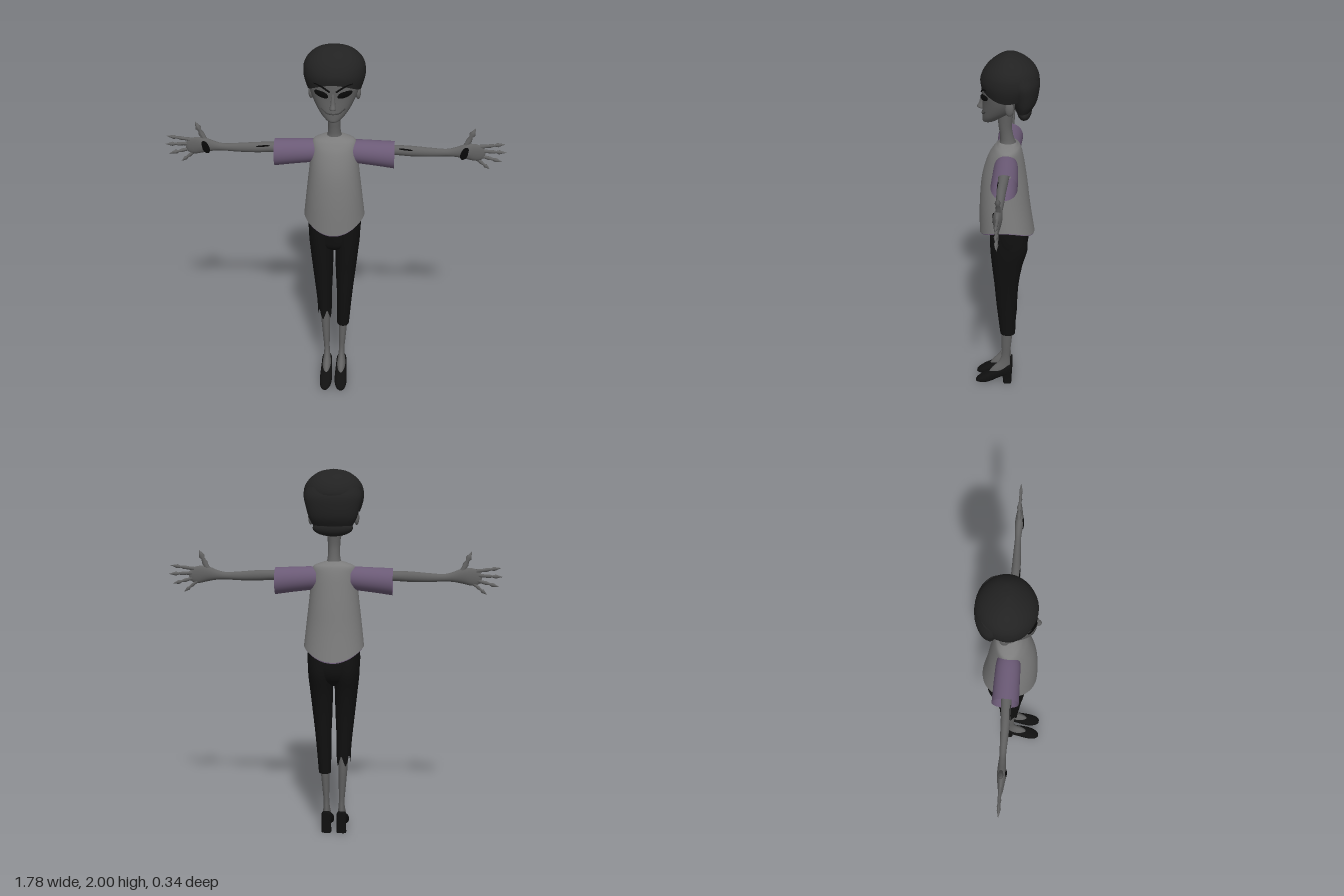
import * as THREE from 'three';

const paint = (color) => new THREE.MeshStandardMaterial({ color, side: THREE.DoubleSide });

// Smooth row of numbers at t in 0..1 along a list of sections
function sample(rows, t) {
  const f = t * (rows.length - 1), i = Math.min(Math.floor(f), rows.length - 2), u = f - i;
  const at = (k) => rows[Math.max(0, Math.min(rows.length - 1, k))];
  const [a, b, c, d] = [at(i - 1), at(i), at(i + 1), at(i + 2)];
  return b.map((p1, k) => {
    const m1 = (c[k] - a[k]) / 2, m2 = (d[k] - p1) / 2, u2 = u * u, u3 = u2 * u;
    return p1 * (2 * u3 - 3 * u2 + 1) + m1 * (u3 - 2 * u2 + u) + c[k] * (3 * u2 - 2 * u3) + m2 * (u3 - u2);
  });
}

// Skin over sections [height, centre x, half width, front z, back z]
function loft(rows, { power = 1, cap = false, warp = null, seg = 32, sub = 5 } = {}) {
  const rings = [], n = (rows.length - 1) * sub;
  for (let i = 0; i <= n; i++) rings.push(sample(rows, i / n));
  if (cap) {
    const shut = ([y, cx, , f, b]) => [y, cx, 0, (f + b) / 2, (f + b) / 2];
    rings.unshift(shut(rings[0]), rings[0]);
    rings.push(rings[rings.length - 1], shut(rings[rings.length - 1]));
  }
  const pos = [], idx = [], bend = (v) => Math.sign(v) * Math.abs(v) ** power;
  rings.forEach(([y, cx, rx, f, b], i) => {
    for (let j = 0; j < seg; j++) {
      const a = (j / seg) * Math.PI * 2;
      pos.push(cx + Math.max(rx, 0) * bend(Math.sin(a)), y + (warp ? warp(a, y) : 0), (f + b) / 2 + (f - b) / 2 * bend(Math.cos(a)));
      if (i === rings.length - 1) continue;
      const p = i * seg + j, q = i * seg + (j + 1) % seg;
      idx.push(p, q, p + seg, q, q + seg, p + seg);
    }
  });
  const g = new THREE.BufferGeometry();
  g.setAttribute('position', new THREE.Float32BufferAttribute(pos, 3));
  g.setIndex(idx);
  g.computeVertexNormals();
  return g;
}

// Mirror across x, keeping faces outward
function mirrored(g) {
  const m = g.clone().scale(-1, 1, 1), ix = m.index.array;
  for (let i = 0; i < ix.length; i += 3) [ix[i], ix[i + 1]] = [ix[i + 1], ix[i]];
  m.computeVertexNormals();
  return m;
}

const face = [
  [1.633, 0, 0.012, 0.108, 0.088], [1.642, 0, 0.034, 0.118, 0.055], [1.67, 0, 0.064, 0.119, 0.01],
  [1.71, 0, 0.093, 0.118, -0.05], [1.76, 0, 0.117, 0.117, -0.09], [1.81, 0, 0.13, 0.121, -0.11],
  [1.86, 0, 0.132, 0.118, -0.12], [1.92, 0, 0.1, 0.07, -0.1]];

function faceZ(x, y) {
  let best = face[0];
  for (let i = 0; i <= 200; i++) {
    const r = sample(face, i / 200);
    if (Math.abs(r[0] - y) < Math.abs(best[0] - y)) best = r;
  }
  const [, , rx, f, b] = best;
  return (f + b) / 2 + (f - b) / 2 * Math.sqrt(Math.max(0, 1 - (x / rx) ** 2));
}

// Tube that follows the surface of the face
function faceLine(points, r) {
  const pts = points.map(([x, y]) => new THREE.Vector3(x, y, faceZ(x, y)));
  return new THREE.TubeGeometry(new THREE.CatmullRomCurve3(pts), 16, r, 6);
}

// Tapered finger with a swollen joint and a pointed nail
function finger([x0, y0], [x1, y1], r) {
  const len = Math.hypot(x1 - x0, y1 - y0);
  const profile = [[1, 0], [0.72, 0.25], [0.85, 0.42], [0.5, 0.58], [0.95, 0.7], [0.55, 0.82], [0, 1]];
  const g = new THREE.LatheGeometry(profile.map(([a, t]) => new THREE.Vector2(a * r, t * len)), 10);
  return g.rotateZ(Math.atan2(y1 - y0, x1 - x0) - Math.PI / 2).scale(1, 1, 0.8).translate(x0, y0, -0.004);
}

const ball = (x, y, z, sx, sy, sz, ry = 0, rz = 0) =>
  new THREE.SphereGeometry(1, 20, 14).scale(sx, sy, sz).rotateZ(rz).rotateY(ry).translate(x, y, z);

export function createModel() {
  const model = new THREE.Group();
  const skin = paint(0x626262), shirt = paint(0x7c7c7c), purple = paint(0x6b5a76);
  const black = paint(0x101010), hair = paint(0x222222), dark = paint(0x080808);
  const add = (name, g, m) => {
    const mesh = new THREE.Mesh(g, m);
    mesh.name = name;
    model.add(mesh);
  };
  const pair = (name, g, m) => {
    add('left ' + name, g, m);
    add('right ' + name, mirrored(g), m);
  };

  // Head and neck
  add('head', loft(face, { seg: 40 }), skin);
  add('neck', loft([[1.48, 0, 0.06, 0.045, -0.065], [1.52, 0, 0.038, 0.03, -0.05], [1.56, 0, 0.032, 0.03, -0.038],
    [1.61, 0, 0.033, 0.037, -0.032], [1.69, 0, 0.04, 0.045, -0.04]]), skin);
  add('nose', loft([[1.705, 0, 0.012, 0.118, 0.1], [1.713, 0, 0.017, 0.145, 0.1], [1.74, 0, 0.012, 0.134, 0.1],
    [1.79, 0, 0.008, 0.121, 0.1]], { cap: true, seg: 16 }), skin);
  add('lips', faceLine([[-0.06, 1.708], [-0.03, 1.687], [0, 1.683], [0.03, 1.687], [0.06, 1.708]], 0.004), paint(0x454545));
  pair('ear', ball(0.12, 1.75, -0.025, 0.014, 0.038, 0.022), skin);
  pair('eye', ball(0.059, 1.785, faceZ(0.059, 1.785) - 0.002, 0.042, 0.017, 0.009, 0.5, 0.22), dark);
  pair('eyebrow', faceLine([[0.015, 1.8], [0.05, 1.822], [0.085, 1.836], [0.11, 1.832]], 0.005), dark);

  // Hair: swept cap, nape and low roll
  add('hair cap', loft([[1.835, 0, 0.136, 0.124, -0.15], [1.875, 0, 0.157, 0.126, -0.168], [1.925, 0, 0.144, 0.102, -0.15],
    [1.965, 0, 0.108, 0.062, -0.11], [1.99, 0, 0.062, 0.02, -0.06], [2, 0, 0, -0.015, -0.015]],
  { seg: 48, warp: (a, y) => -0.055 * Math.sin(a) ** 2 * Math.max(0, 1 - (y - 1.835) / 0.06) }), hair);
  add('back hair', loft([[1.71, 0, 0.1, -0.05, -0.13], [1.75, 0, 0.122, -0.035, -0.155], [1.8, 0, 0.137, -0.02, -0.167],
    [1.86, 0, 0.15, 0, -0.17], [1.91, 0, 0.14, 0, -0.15]], { cap: true }), hair);
  add('hair roll', ball(0, 1.702, -0.095, 0.105, 0.044, 0.038), hair);

  // Blouse with a curved hem and a coloured lining
  const blouse = [[1.065, 0, 0.162, 0.14, -0.155], [1.2, 0, 0.147, 0.138, -0.128], [1.34, 0, 0.131, 0.122, -0.108],
    [1.44, 0, 0.121, 0.092, -0.092], [1.49, 0, 0.112, 0.062, -0.078], [1.509, 0, 0.08, 0.044, -0.064], [1.522, 0, 0.038, 0.033, -0.053]];
  const hem = (a, y) => -0.065 * Math.cos(a) ** 2 * Math.max(0, 1 - (y - 1.065) / 0.2);
  add('blouse', loft(blouse, { warp: hem, seg: 48 }), shirt);
  const lining = blouse.slice(0, 4).map(([y, cx, rx, f, b]) => [y, cx, rx - 0.004, f - 0.004, b + 0.004]);
  add('blouse lining', loft(lining, { seg: 48, warp: (a, y) => hem(a, y) - 0.006 }), purple);

  // Sleeves and arms, lofted upward and then laid along x
  const alongX = (rows, opts) => loft(rows.map(([x, y, ry, f, b]) => [x, -y, ry, f, b]), opts).rotateZ(-Math.PI / 2);
  pair('sleeve', alongX([[0.09, 1.43, 0.058, 0.05, -0.065], [0.13, 1.428, 0.063, 0.054, -0.07],
    [0.22, 1.421, 0.067, 0.056, -0.074], [0.312, 1.413, 0.072, 0.058, -0.077]]), purple);
  pair('arm', alongX([[0.1, 1.44, 0.036, 0.026, -0.036], [0.3, 1.443, 0.027, 0.022, -0.03], [0.4, 1.44, 0.028, 0.022, -0.025],
    [0.5, 1.436, 0.024, 0.017, -0.022], [0.58, 1.436, 0.02, 0.013, -0.019], [0.63, 1.441, 0.027, 0.016, -0.022],
    [0.68, 1.446, 0.041, 0.021, -0.024], [0.73, 1.441, 0.046, 0.014, -0.018], [0.765, 1.438, 0.034, 0.008, -0.012],
    [0.78, 1.438, 0.008, 0, -0.006]]), skin);
  const tips = [[[0.75, 1.472], [0.88, 1.49], 0.012], [[0.76, 1.449], [0.89, 1.443], 0.012],
    [[0.75, 1.424], [0.872, 1.39], 0.012], [[0.73, 1.41], [0.81, 1.347], 0.011], [[0.672, 1.46], [0.723, 1.575], 0.018]];
  tips.forEach(([a, b, r], i) => pair(i === 4 ? 'thumb' : 'finger ' + (i + 1), finger(a, b, r), skin));
  pair('palm hollow', ball(0.672, 1.44, 0.017, 0.02, 0.036, 0.006, 0, -0.35), dark);
  pair('forearm mark', ball(0.375, 1.454, 0.017, 0.042, 0.005, 0.004, 0, -0.1), dark);

  // Trousers, the right leg shorter and torn
  add('trouser seat', loft([[0.85, 0, 0.03, 0.03, -0.05], [0.885, 0, 0.115, 0.07, -0.1], [0.94, 0, 0.138, 0.081, -0.122],
    [1.02, 0, 0.142, 0.086, -0.115], [1.1, 0, 0.132, 0.085, -0.1]]), black);
  const thigh = [[0.55, 0.057, 0.043, 0.048, -0.064], [0.7, 0.062, 0.054, 0.06, -0.075], [0.82, 0.067, 0.062, 0.072, -0.095],
    [0.93, 0.07, 0.069, 0.08, -0.122], [1.05, 0.068, 0.068, 0.082, -0.108]];
  add('left trouser leg', loft([[0.352, 0.049, 0.034, 0.028, -0.056], ...thigh]), black);
  const tear = (a, y) => 0.07 * (Math.abs(((a * 5 / Math.PI + 0.6) % 2) - 1) - 0.7) * Math.max(0, 1 - (y - 0.44) / 0.06);
  add('right trouser leg', mirrored(loft([[0.44, 0.053, 0.038, 0.038, -0.06], ...thigh], { warp: tear, seg: 40 })), black);

  // Lower legs running into the instep
  pair('lower leg', loft([[0.06, 0.042, 0.024, 0.1, -0.025], [0.095, 0.042, 0.024, 0.078, -0.028], [0.14, 0.042, 0.018, 0.04, -0.028],
    [0.19, 0.043, 0.016, 0.022, -0.026], [0.27, 0.046, 0.02, 0.021, -0.033], [0.38, 0.05, 0.025, 0.022, -0.042],
    [0.55, 0.055, 0.03, 0.025, -0.042]]), skin);

  // Heeled shoes, the upper lofted along z as [z, centre x, half width, -bottom, -top]
  pair('shoe', loft([[-0.037, 0.042, 0.018, -0.055, -0.122], [-0.015, 0.042, 0.028, -0.05, -0.125], [0.03, 0.042, 0.031, -0.04, -0.1],
    [0.08, 0.042, 0.034, -0.012, -0.078], [0.12, 0.043, 0.034, 0, -0.055], [0.155, 0.045, 0.025, 0, -0.03],
    [0.172, 0.046, 0.01, -0.002, -0.014]], { power: 0.75, cap: true }).rotateX(Math.PI / 2), black);
  pair('shoe heel', loft([[0, 0.042, 0.027, 0.012, -0.035], [0.04, 0.042, 0.026, 0.016, -0.036], [0.09, 0.042, 0.028, 0.03, -0.037]],
    { power: 0.5, cap: true }), black);
  return model;
}
